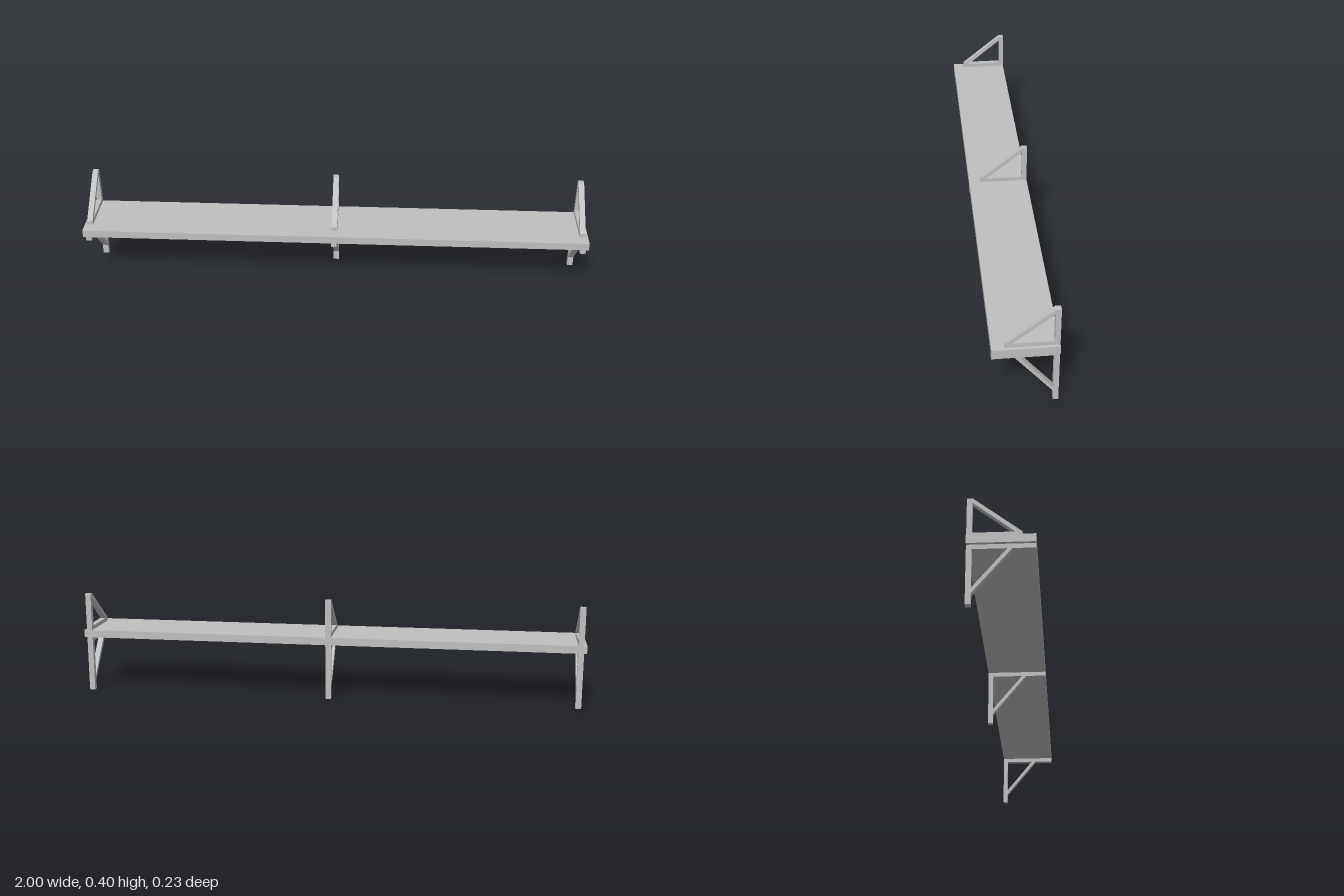
import * as THREE from 'three';

const WIDTH = 0.022; // bracket thickness along x
const BACK = -0.115, FRONT = 0.115, POST = -0.096;
const SHELF_BOTTOM = 0.22, SHELF_TOP = 0.25;

// Extrudes a side profile of [z, y] points along x, centred on x = 0
function profile(name, points, material) {
  const shape = new THREE.Shape(points.map(([z, y]) => new THREE.Vector2(z, y)));
  const geometry = new THREE.ExtrudeGeometry(shape, { depth: WIDTH, bevelEnabled: false });
  geometry.translate(0, 0, -WIDTH / 2).rotateY(-Math.PI / 2);
  const mesh = new THREE.Mesh(geometry, material);
  mesh.name = name;
  return mesh;
}

// Rectangular bar between two corners in the side plane
const bar = (name, z0, y0, z1, y1, material) =>
  profile(name, [[z0, y0], [z1, y0], [z1, y1], [z0, y1]], material);

function createBracket(material) {
  const bracket = new THREE.Group();
  bracket.add(
    // Lower half: wall post, arm under the board, slanted brace
    bar('lowerPost', BACK, 0, POST, 0.203, material),
    bar('lowerArm', BACK, 0.203, FRONT, SHELF_BOTTOM, material),
    profile('lowerBrace', [[POST, 0.04], [0.037, 0.203], [0.02, 0.203], [POST, 0.06]], material),
    // Upper half: wall post, arm on the board, slanted brace
    bar('upperPost', BACK, SHELF_TOP, POST, 0.4, material),
    bar('upperArm', POST, SHELF_TOP, 0.07, 0.266, material),
    profile('upperBrace', [[0.046, 0.266], [0.07, 0.266], [POST, 0.4], [POST, 0.382]], material),
  );
  return bracket;
}

export function createModel() {
  const grey = new THREE.MeshStandardMaterial({ color: 0xc0c0c0 });
  grey.name = 'light grey';

  const model = new THREE.Group();
  model.name = 'wallShelf';

  // Long shelf board
  const board = new THREE.Mesh(
    new THREE.BoxGeometry(2, SHELF_TOP - SHELF_BOTTOM, FRONT - BACK), grey);
  board.name = 'shelfBoard';
  board.position.y = (SHELF_BOTTOM + SHELF_TOP) / 2;
  model.add(board);

  // Three matching brackets
  [['rightBracket', -0.978], ['middleBracket', 0], ['leftBracket', 0.978]].forEach(([name, x]) => {
    const bracket = createBracket(grey);
    bracket.name = name;
    bracket.position.x = x;
    model.add(bracket);
  });
  return model;
}
